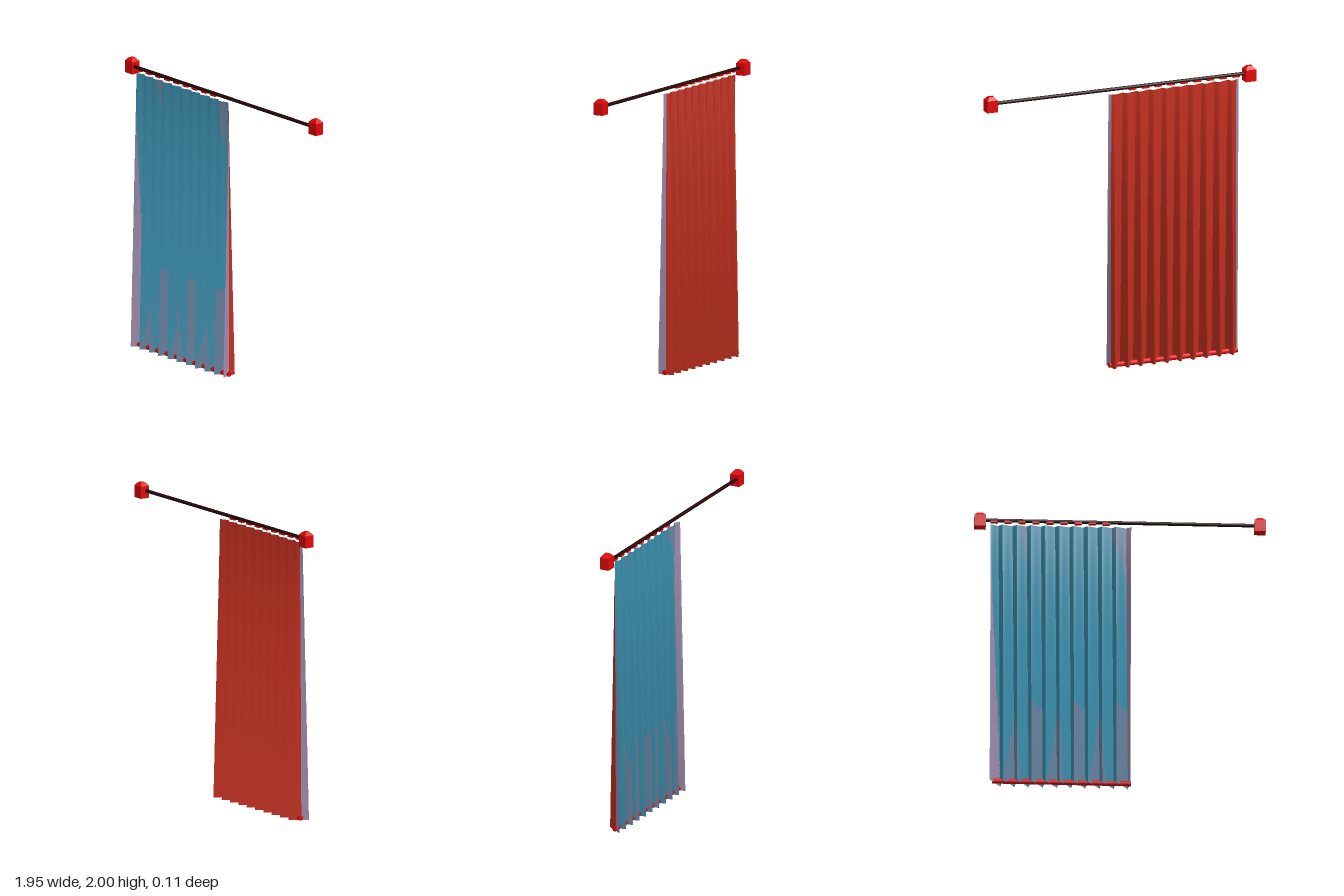
import * as THREE from 'three';
import { toCreasedNormals } from 'three/addons/utils/BufferGeometryUtils.js';

const mat = (name, color) => {
  const m = new THREE.MeshStandardMaterial({ color });
  m.name = name;
  return m;
};
const lerp = THREE.MathUtils.lerp;

const PITCH = 0.095, FOLDS = 10, STEPS = 8, ROWS = 64, HEIGHT = 1.91, GAP = 0.003;

// Corner of the pleat line: even corners are front ridges, odd ones back ridges.
// t is 0 at the hem and 1 at the heading.
function corner(i, t) {
  const k = Math.floor(i / 2);
  if (i === 0) return lerp(-0.878, -0.868, t);
  if (i === FOLDS * 2) return lerp(0.068, 0.075, t);
  return i % 2 ? lerp(-0.80, -0.815, t) + PITCH * k : -0.787 + PITCH * (k - 1);
}

// Half depth of the folds at height t
const depth = t => lerp(0.056, 0.011, t);

// Point on the cloth: s runs across the ridges, t runs up
function clothPoint(s, t) {
  const i = Math.min(Math.floor(s), FOLDS * 2 - 1), f = s - i;
  const x = lerp(corner(i, t), corner(i + 1, t), f);
  const wave = lerp(1 - 2 * f, Math.cos(Math.PI * f), 0.5 * t);
  return [x, 0.004 + t * (HEIGHT - 0.004), (i % 2 ? -1 : 1) * wave * depth(t)];
}

// Colour groups: 0 = main cloth, 1 = patch, 2 = end border
function frontColour(x, y, z, s) {
  if (s < 1 && x < -0.80 - 0.065 * y / 1.6) return 2;
  if (s > FOLDS * 2 - 1) return 2;
  const near = (x0, w) => x > x0 && x < x0 + w;
  for (const line of [-0.60, -0.315, -0.03]) {
    if (near(line, 0.08) && y < 0.6 - 0.4 * (x - line)) return 1;
  }
  for (const line of [-0.70, -0.41, -0.13]) {
    const d = x - line;
    if (d > -0.09 && d < 0.03 && y < 0.57 * (d < 0 ? 1 + d / 0.09 : 1 - d / 0.03)) return 1;
  }
  if (near(-0.06, 0.11) && y > 1.85 - 3 * (x + 0.06)) return 1;
  if (near(-0.665, 0.045) && y > 1.85 - 5 * (x + 0.665)) return 1;
  return 0;
}
function backColour(x, y, z, s) {
  if (s < 1) return z > 0.3 * depth(y / HEIGHT) ? 2 : 0;
  return s > FOLDS * 2 - 1 && z > 0 ? 2 : 0;
}

// One face of the pleated cloth, with triangles sorted into colour groups
function clothGeometry(colour, flip) {
  const cols = FOLDS * 2 * STEPS, pos = [], groups = [[], [], []];
  for (let r = 0; r <= ROWS; r++) {
    for (let c = 0; c <= cols; c++) pos.push(...clothPoint(c / STEPS, r / ROWS));
  }
  const add = (s, a, b, c) => {
    const mid = [0, 1, 2].map(k => (pos[a * 3 + k] + pos[b * 3 + k] + pos[c * 3 + k]) / 3);
    groups[colour(...mid, s)].push(...(flip ? [a, c, b] : [a, b, c]));
  };
  for (let r = 0; r < ROWS; r++) {
    for (let c = 0; c < cols; c++) {
      const a = r * (cols + 1) + c, d = a + cols + 1, s = (c + 0.5) / STEPS;
      add(s, a, a + 1, d + 1);
      add(s, a, d + 1, d);
    }
  }
  const g = new THREE.BufferGeometry();
  g.setAttribute('position', new THREE.Float32BufferAttribute(pos, 3));
  g.setIndex(groups.flat());
  // Each face stands off the middle of the cloth by half its thickness
  g.computeVertexNormals();
  const p = g.attributes.position, n = g.attributes.normal;
  for (let i = 0; i < p.count; i++) {
    p.setXYZ(i, p.getX(i) + n.getX(i) * GAP / 2, p.getY(i), p.getZ(i) + n.getZ(i) * GAP / 2);
  }
  const creased = toCreasedNormals(g, Math.PI / 6);
  creased.clearGroups();
  let start = 0;
  groups.forEach((list, k) => {
    if (list.length) creased.addGroup(start, list.length, k);
    start += list.length;
  });
  return creased;
}

// Block with its top drawn in to a small flat cap
function finialGeometry() {
  const g = new THREE.BoxGeometry(0.076, 0.105, 0.066, 1, 2, 1);
  const p = g.attributes.position;
  for (let i = 0; i < p.count; i++) {
    const y = p.getY(i);
    if (y > 0.04) p.setXYZ(i, p.getX(i) * 0.45, y, p.getZ(i) * 0.45);
    else if (y > -0.01) p.setY(i, 0.03);
  }
  const flat = g.toNonIndexed();
  flat.computeVertexNormals();
  return flat;
}

export function createModel() {
  const root = new THREE.Group();
  const teal = mat('teal cloth', 0x3a8eac);
  const slate = mat('slate patch', 0x6682a0);
  const mauve = mat('mauve border', 0x9e8bab);
  const rust = mat('rust lining', 0xc43020);
  const red = mat('bright red', 0xe00606);
  const dark = mat('dark rod', 0x260808);

  const add = (name, geo, material, x = 0, y = 0, z = 0) => {
    const m = new THREE.Mesh(geo, material);
    m.name = name;
    m.position.set(x, y, z);
    root.add(m);
    return m;
  };

  // Cloth front and lining
  add('curtainFront', clothGeometry(frontColour, false), [teal, slate, mauve]);
  add('curtainLining', clothGeometry(backColour, true), [rust, slate, mauve]);

  // Rod with a finial at each end
  add('rod', new THREE.CylinderGeometry(0.012, 0.012, 1.82, 12), dark, 0, 1.945, 0).rotation.z = Math.PI / 2;
  for (const side of [-1, 1]) add('finial', finialGeometry(), red, side * 0.938, 1.9475, -0.01);

  // Hanging tabs under the rod
  for (let i = 0; i < 9; i++) {
    add('hangingTab', new THREE.BoxGeometry(0.048, 0.012, 0.026), red, -0.845 + i * 0.094, 1.933, 0);
  }

  // Weight bar in the hem
  add('hemBar', new THREE.CylinderGeometry(0.018, 0.018, 0.93, 8), red, -0.392, 0.018, 0.006).rotation.z = Math.PI / 2;

  return root;
}
